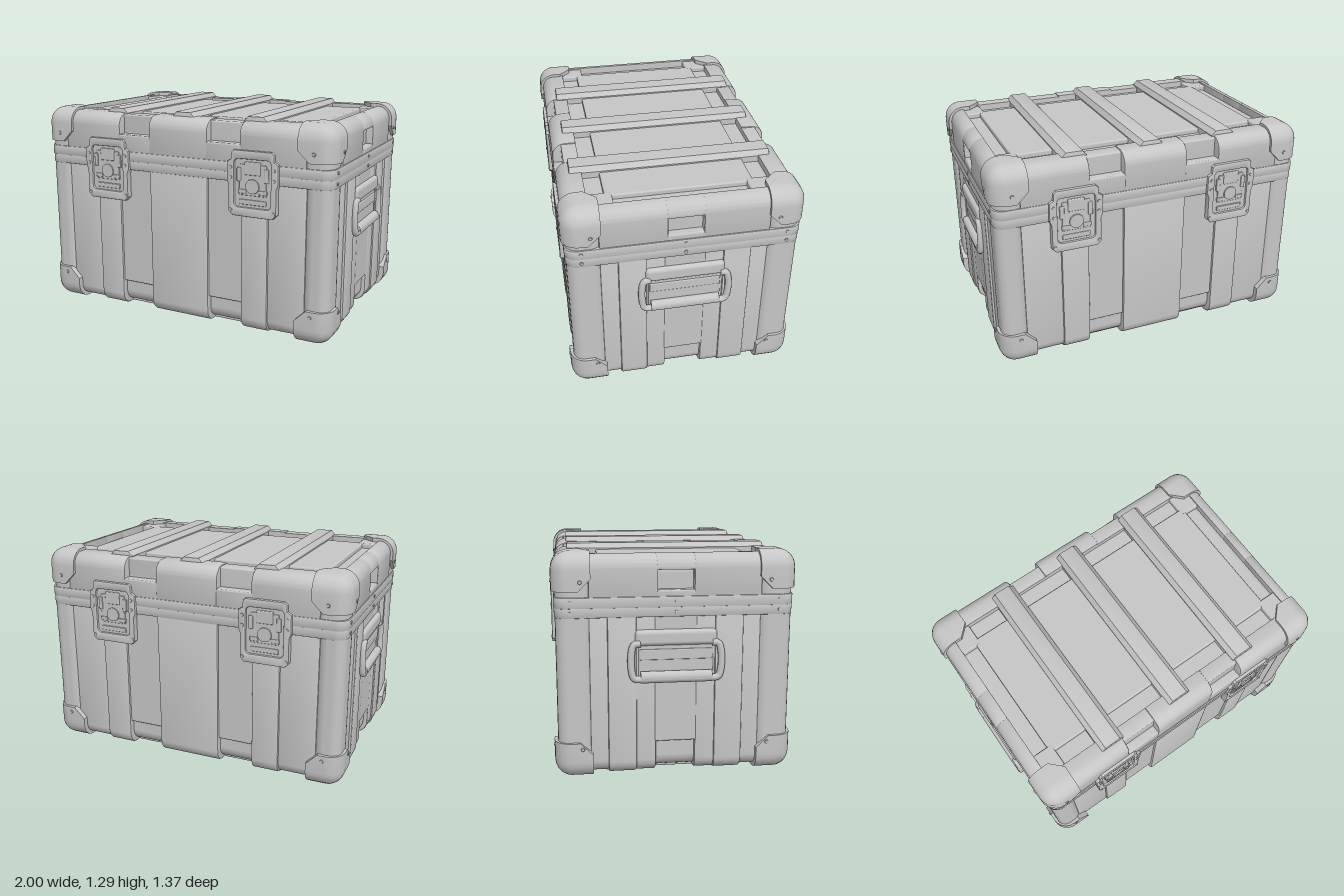
import * as THREE from 'three';
import { toCreasedNormals } from 'three/addons/utils/BufferGeometryUtils.js';
import { RoundedBoxGeometry } from 'three/addons/geometries/RoundedBoxGeometry.js';
import { ConvexGeometry } from 'three/addons/geometries/ConvexGeometry.js';

const grey = new THREE.MeshStandardMaterial({ color: 0xc6c6c6 });
grey.name = 'case light grey';
const SIGNS = [-1, 1];

function add(parent, name, geometry, x = 0, y = 0, z = 0) {
  const mesh = new THREE.Mesh(geometry, grey);
  mesh.name = name;
  mesh.position.set(x, y, z);
  parent.add(mesh);
  return mesh;
}

// Rounded block given by its limits
function block(parent, name, x0, x1, y0, y1, z0, z1, r = 0.01) {
  return add(parent, name, new RoundedBoxGeometry(x1 - x0, y1 - y0, z1 - z0, 3, r),
    (x0 + x1) / 2, (y0 + y1) / 2, (z0 + z1) / 2);
}

// Rectangle with a radius per corner: bottom left, bottom right, top right, top left
function rect(x0, x1, y0, y1, radii) {
  const s = new THREE.Shape();
  const [bl, br, tr, tl] = radii.map((r) => r || 0.001);
  s.absarc(x1 - br, y0 + br, br, -Math.PI / 2, 0);
  s.absarc(x1 - tr, y1 - tr, tr, 0, Math.PI / 2);
  s.absarc(x0 + tl, y1 - tl, tl, Math.PI / 2, Math.PI);
  s.absarc(x0 + bl, y0 + bl, bl, Math.PI, Math.PI * 1.5);
  return s;
}

// Bevelled extrusion of a shape from a to b along z, x or y
function prism(parent, name, axis, a, b, shape, bevel = 0.01) {
  const g = new THREE.ExtrudeGeometry(shape, {
    depth: b - a - 2 * bevel, curveSegments: 8, bevelEnabled: true,
    bevelSize: bevel, bevelThickness: bevel, bevelOffset: -bevel, bevelSegments: 2,
  });
  g.translate(0, 0, a + bevel);
  if (axis === 'x') g.rotateY(Math.PI / 2);
  if (axis === 'y') g.rotateX(-Math.PI / 2);
  return add(parent, name, toCreasedNormals(g, 0.5));
}

// Rounded corner cap with chamfered inner corners
function cornerCap(parent, sx, top, sz) {
  const r = 0.1, d = 0.215, e = 0.145, pts = [], n = 6;
  const put = (u, v, w) => pts.push(new THREE.Vector3(
    sx * (0.983 - u), top ? 1.282 - v : v, sz * (0.682 - w)));
  const perms = [(a, b, c) => put(a, b, c), (a, b, c) => put(c, a, b), (a, b, c) => put(b, c, a)];
  for (let i = 0; i <= n; i++) {
    const t = (i / n) * Math.PI / 2;
    for (let j = 0; j <= n; j++) {
      const p = (j / n) * Math.PI / 2;
      put(r - r * Math.cos(t) * Math.cos(p), r - r * Math.sin(t), r - r * Math.cos(t) * Math.sin(p));
    }
    for (const q of perms) q(d, r - r * Math.cos(t), r - r * Math.sin(t));
  }
  for (const q of perms) {
    q(d, e, 0); q(d, 0, e);
    q(d, e, 0.06); q(d, 0.06, e);
  }
  add(parent, 'cornerCap', toCreasedNormals(new ConvexGeometry(pts), 0.5));
  const y = top ? 1.12 : 0.18;
  const rivet = new THREE.CylinderGeometry(0.009, 0.014, 0.01, 12);
  add(parent, 'capRivet', rivet, sx * 0.865, y, sz * 0.682).rotation.x = sz * Math.PI / 2;
  add(parent, 'capRivet', rivet, sx * 0.983, y, sz * 0.525).rotation.z = -sx * Math.PI / 2;
}

function makeBody() {
  const body = new THREE.Group();
  body.name = 'body';
  block(body, 'bodyCore', -0.93, 0.93, 0.03, 1.0, -0.625, 0.625, 0.08);
  const hoop = (axis, a, b, half, y0) =>
    prism(body, 'bodyRib', axis, a, b, rect(-half, half, y0, 0.95, [0.08, 0.08, 0, 0]));
  hoop('x', -0.2, 0.2, 0.662, 0.012);
  for (const s of SIGNS) {
    const span = (axis, a, b, half, y0) => hoop(axis, s > 0 ? a : -b, s > 0 ? b : -a, half, y0);
    span('x', 0.42, 0.59, 0.662, 0.012);
    span('x', 0.57, 0.82, 0.648, 0.018);
    span('z', 0.22, 0.38, 0.965, 0.012);
    span('z', 0.36, 0.48, 0.95, 0.02);
    span('z', 0.11, 0.24, 0.955, 0.014);
    // Panels that end above the lower notches
    block(body, 'endPanel', s > 0 ? 0.8 : -0.955, s > 0 ? 0.955 : -0.8, 0.2, 0.95, -0.12, 0.12);
    for (const t of SIGNS) {
      block(body, 'frontPanel', s * 0.31 - 0.12, s * 0.31 + 0.12, 0.18, 0.95, t * 0.57 - 0.077, t * 0.57 + 0.077);
      block(body, 'cornerPost', s * 0.8825 - 0.0825, s * 0.8825 + 0.0825, 0.012, 1.02,
        t * 0.561 - 0.101, t * 0.561 + 0.101, 0.065);
      // Rounded pads underneath
      const pad = rect(s * 0.59 - 0.28, s * 0.59 + 0.28, t * 0.3 - 0.16, t * 0.3 + 0.16, [0.1, 0.1, 0.1, 0.1]);
      prism(body, 'basePad', 'y', 0.005, 0.05, pad, 0.008);
    }
  }
  block(body, 'basePlate', -0.86, 0.86, 0.0125, 0.06, -0.56, 0.56);
  prism(body, 'basePad', 'y', 0, 0.05, rect(-0.13, 0.13, -0.56, 0.56, [0.08, 0.08, 0.08, 0.08]), 0.008);
  return body;
}

function makeLid() {
  const lid = new THREE.Group();
  lid.name = 'lid';
  block(lid, 'lidCore', -0.92, 0.92, 0.95, 1.225, -0.61, 0.61, 0.07);
  for (const s of SIGNS) {
    // Rounded rims along the long and short edges
    const lip = (axis, a, b, inner, outer, y0 = 1.0, y1 = 1.265, r = 0.08) => prism(lid, 'lidRim', axis, a, b,
      s > 0 ? rect(inner, outer, y0, y1, [0, 0, r, 0]) : rect(-outer, -inner, y0, y1, [0, 0, 0, r]));
    lip('x', -0.2, 0.2, 0.52, 0.665);
    lip('x', 0.41, 0.82, 0.52, 0.665);
    lip('x', -0.82, -0.41, 0.52, 0.665);
    lip('x', -0.43, -0.19, 0.53, 0.665, 1.0, 1.14, 0.01);
    lip('x', 0.19, 0.43, 0.53, 0.665, 1.0, 1.14, 0.01);
    lip('x', -0.43, 0.43, 0.52, 0.61, 1.15, 1.257, 0.01);
    lip('z', 0.1, 0.48, 0.88, 0.965);
    lip('z', -0.48, -0.1, 0.88, 0.965);
    lip('z', -0.11, 0.11, 0.88, 0.965, 1.0, 1.07, 0.01);
    lip('z', -0.11, 0.11, 0.88, 0.965, 1.18);
    // Top panels and cross ribs
    block(lid, 'topPanel', s * 0.24 - 0.2, s * 0.24 + 0.2, 1.2, 1.254, -0.42, 0.42);
    block(lid, 'topPanel', s * 0.645 - 0.145, s * 0.645 + 0.145, 1.2, 1.254, -0.42, 0.42);
    for (const t of SIGNS) {
      block(lid, 'topShoulder', s * 0.845 - 0.085, s * 0.845 + 0.085, 1.2, 1.256, t * 0.46 - 0.08, t * 0.46 + 0.08);
      block(lid, 'lidCorner', s * 0.8675 - 0.0975, s * 0.8675 + 0.0975, 0.96, 1.265,
        t * 0.5575 - 0.1075, t * 0.5575 + 0.1075, 0.08);
    }
  }
  for (const x of [-0.475, 0, 0.475]) {
    const rib = new THREE.Shape([[-0.076, 1.2], [0.076, 1.2], [0.076, 1.262], [0.05, 1.291], [-0.05, 1.291], [-0.076, 1.262]]
      .map(([u, v]) => new THREE.Vector2(u + x, v)));
    prism(lid, 'topRib', 'z', -0.59, 0.59, rib, 0.008);
  }
  return lid;
}

// Latch facing +z, with frame, plate and turning disc
function makeLatch(x, side) {
  const latch = new THREE.Group();
  latch.name = 'latch';
  const half = [[0.118, 1.11], [0.133, 1.095], [0.136, 1.055], [0.16, 1.04], [0.162, 0.93],
    [0.15, 0.9], [0.15, 0.75], [0.125, 0.725]];
  const frame = new THREE.Shape([...half, ...half.map(([u, v]) => [-u, v]).reverse()]
    .map(([u, v]) => new THREE.Vector2(u, v)));
  frame.holes.push(rect(-0.114, 0.114, 0.78, 1.06, [0.025, 0.025, 0.025, 0.025]));
  prism(latch, 'latchFrame', 'z', 0.62, 0.684, frame, 0.007);
  block(latch, 'latchDish', -0.12, 0.12, 0.775, 1.065, 0.63, 0.67, 0.003);
  block(latch, 'latchPlate', -0.085, 0.085, 0.85, 1.03, 0.655, 0.676, 0.005);
  block(latch, 'latchHook', -0.05, 0.05, 0.97, 1.045, 0.655, 0.682, 0.006);
  block(latch, 'latchFoot', -0.085, 0.085, 0.795, 0.825, 0.655, 0.677, 0.005);
  add(latch, 'latchDisc', new THREE.CylinderGeometry(0.042, 0.045, 0.02, 20), 0, 0.905, 0.673).rotation.x = Math.PI / 2;
  for (const s of SIGNS) {
    block(latch, 'latchArm', s * 0.085 - 0.014, s * 0.085 + 0.014, 0.93, 1.01, 0.655, 0.68, 0.005);
    block(latch, 'latchWing', s * 0.065 - 0.025, s * 0.065 + 0.025, 0.86, 0.885, 0.655, 0.68, 0.005);
    for (const y of [0.76, 0.95, 1.01]) {
      add(latch, 'latchRivet', new THREE.CylinderGeometry(0.009, 0.011, 0.006, 10),
        s * 0.135, y, 0.684).rotation.x = Math.PI / 2;
    }
  }
  latch.position.x = x;
  if (side < 0) latch.rotation.y = Math.PI;
  return latch;
}

// Swinging side handle on the +x end
function makeHandle(side) {
  const handle = new THREE.Group();
  handle.name = 'sideHandle';
  block(handle, 'handleBackplate', 0.92, 0.962, 0.56, 0.82, -0.21, 0.21, 0.008);
  block(handle, 'handleSlat', 0.93, 0.968, 0.68, 0.74, -0.205, 0.205, 0.006);
  block(handle, 'handleHinge', 0.92, 0.98, 0.76, 0.85, -0.23, 0.23, 0.025);
  const path = new THREE.CatmullRomCurve3([[0.972, 0.775, 0.2], [0.972, 0.77, 0.235], [0.974, 0.73, 0.25],
    [0.978, 0.62, 0.25], [0.979, 0.58, 0.235], [0.979, 0.575, 0.18], [0.979, 0.575, 0], [0.979, 0.575, -0.18],
    [0.979, 0.58, -0.235], [0.978, 0.62, -0.25], [0.974, 0.73, -0.25], [0.972, 0.77, -0.235], [0.972, 0.775, -0.2]]
    .map((p) => new THREE.Vector3(...p)));
  add(handle, 'handleBail', new THREE.TubeGeometry(path, 70, 0.02, 10));
  const grip = add(handle, 'handleGrip', new THREE.CylinderGeometry(0.034, 0.034, 0.4, 16), 0.972, 0.584, 0);
  grip.rotation.x = Math.PI / 2;
  grip.scale.x = 0.82;
  if (side < 0) handle.rotation.y = Math.PI;
  return handle;
}

export function createModel() {
  const model = new THREE.Group();
  model.name = 'transitCase';
  model.add(makeBody(), makeLid());

  // Closing bands around the seam
  const plan = (x, z) => rect(-x, x, -z, z, [0.07, 0.07, 0.07, 0.07]);
  prism(model, 'lowerBand', 'y', 0.922, 0.985, plan(0.969, 0.666), 0.004);
  prism(model, 'upperBand', 'y', 0.975, 1.035, plan(0.971, 0.668), 0.004);

  for (const s of SIGNS) {
    model.add(makeHandle(s));
    for (const t of SIGNS) {
      model.add(makeLatch(s * 0.5, t));
      cornerCap(model, s, true, t);
      cornerCap(model, s, false, t);
    }
    // Band rivets on the ends
    for (const z of [-0.58, 0, 0.58]) {
      for (const y of [0.95, 1.01]) {
        add(model, 'bandRivet', new THREE.CylinderGeometry(0.01, 0.01, 0.01, 10), s * 0.97, y, z).rotation.z = Math.PI / 2;
      }
    }
  }
  return model;
}
